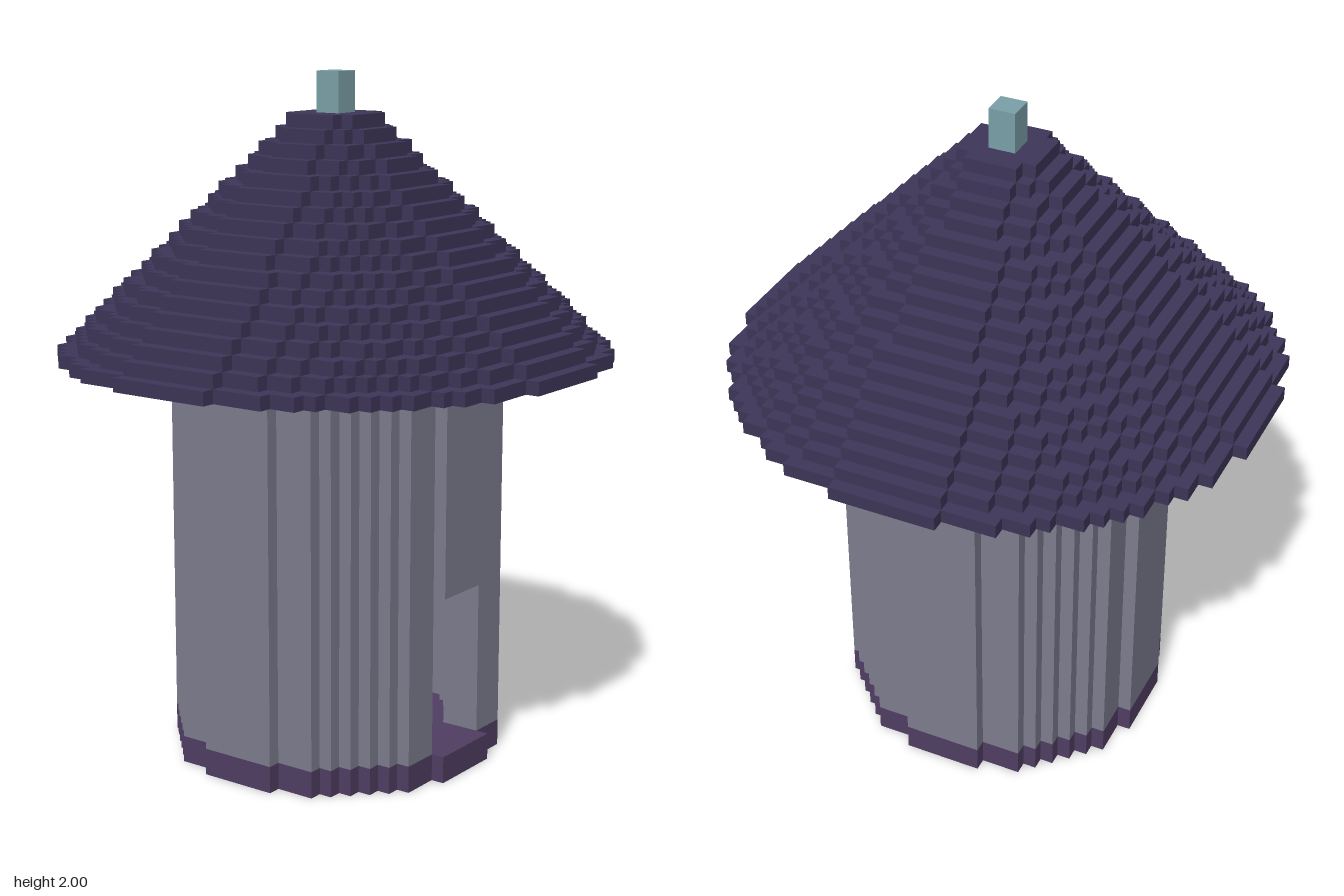
import * as THREE from 'three';

const U = 2 / 51; // edge of one block

// Stepped outline of a disc of blocks, clockwise from the front (+y in the shape)
function discOutline(r) {
  const quarter = [];
  let previous = 0;
  for (let row = r - 1; row >= 0; row--) {
    const half = Math.floor(Math.sqrt(r * r - (row + 0.5) ** 2) + 0.5);
    if (half === previous) continue;
    if (previous) quarter.push([previous, row + 1]);
    quarter.push([half, row + 1]);
    previous = half;
  }
  const right = [...quarter, ...quarter.map(([x, y]) => [x, -y]).reverse()];
  return [...right, ...right.map(([x, y]) => [-x, y]).reverse()];
}

const toVectors = (points) => points.map(([x, y]) => new THREE.Vector2(x * U, y * U));

// Upright slab between two block levels, with an optional hole
function slab(name, material, outline, bottom, top, hole) {
  const shape = new THREE.Shape(toVectors(outline));
  if (hole) shape.holes.push(new THREE.Path(toVectors(hole)));
  const geometry = new THREE.ExtrudeGeometry(shape, { depth: (top - bottom) * U, bevelEnabled: false });
  geometry.rotateX(Math.PI / 2).translate(0, top * U, 0);
  const mesh = new THREE.Mesh(geometry, material);
  mesh.name = name;
  return mesh;
}

export function createModel() {
  const paint = (color) => new THREE.MeshStandardMaterial({ color });
  const stone = paint(0x7c7c8e);
  const floorPaint = paint(0x4f3d62);
  const roofPaint = paint(0x3d3558);
  const finialPaint = paint(0x7aa0a8);

  const model = new THREE.Group();
  model.name = 'tower';

  // Floor and hollow wall; the lower wall is open at the front for the doorway
  const outer = discOutline(12);
  const inner = discOutline(9);
  const withDoorway = [...outer.slice(1, -1), ...inner.slice(1, -1).reverse()];
  model.add(
    slab('floor', floorPaint, outer, 0, 2),
    slab('lowerWall', stone, withDoorway, 2, 14),
    slab('upperWall', stone, outer, 14, 30, inner),
  );

  // Conical roof: each layer is one block narrower
  const roof = new THREE.Group();
  roof.name = 'roof';
  for (let i = 0; i < 18; i++) {
    roof.add(slab('roofLayer', roofPaint, discOutline(20 - i), 30 + i, 31 + i));
  }
  model.add(roof);

  // Finial
  const finial = new THREE.Mesh(new THREE.BoxGeometry(2 * U, 3 * U, 2 * U), finialPaint);
  finial.name = 'finial';
  finial.position.y = 49.5 * U;
  model.add(finial);

  return model;
}
